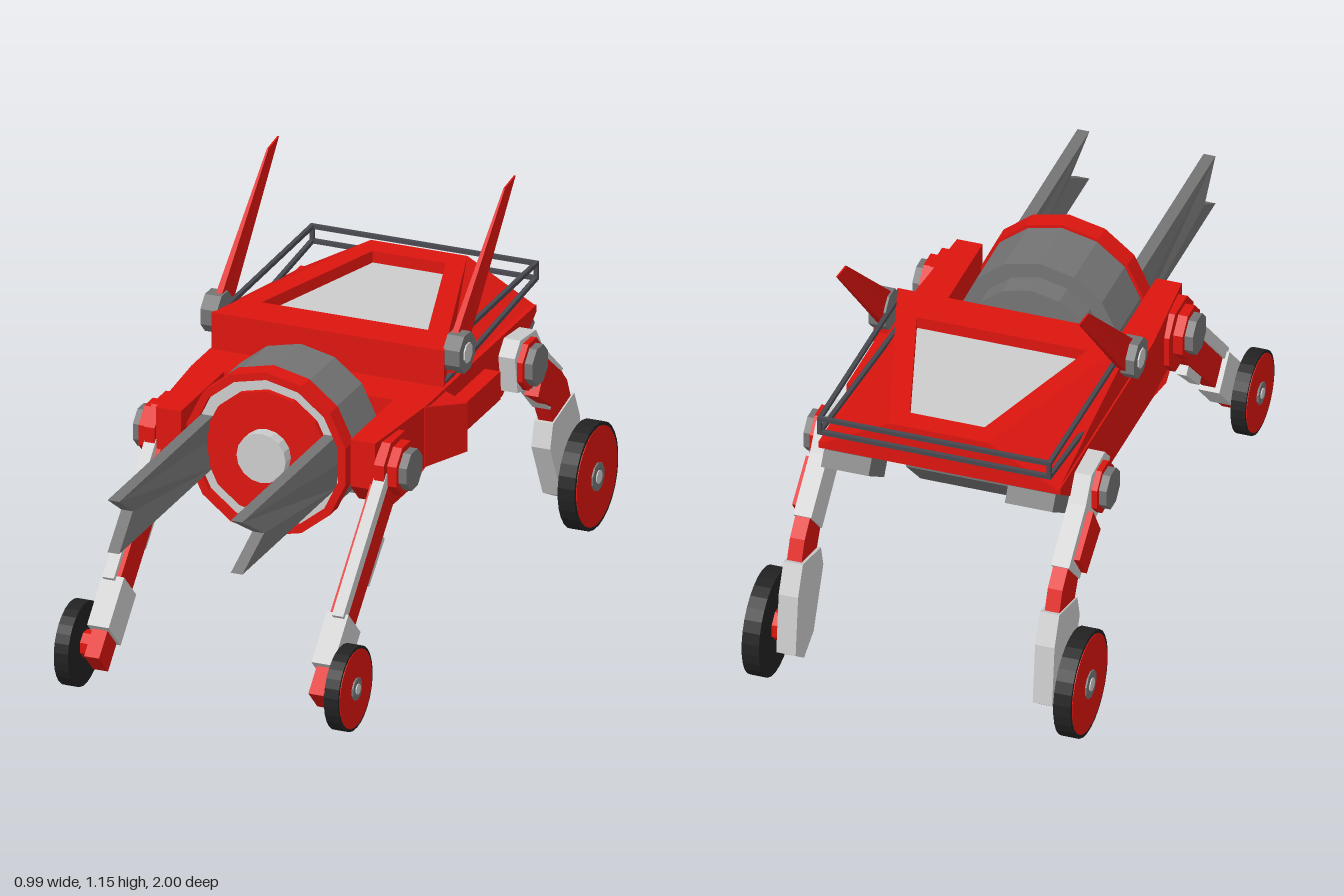
import * as THREE from 'three';

const mat = (color) => new THREE.MeshStandardMaterial({ color, flatShading: true, side: THREE.DoubleSide });
const RED = mat(0xdc150f), LIGHT = mat(0xcccccc), DARK = mat(0x747474), TYRE = mat(0x222222), RAIL = mat(0x484850);

export function createModel() {
  const root = new THREE.Group();
  let target = root;
  const add = (name, geo, material) => {
    const m = new THREE.Mesh(geo, material);
    m.name = name;
    target.add(m);
    return m;
  };
  const part = (name, build) => {
    target = new THREE.Group();
    target.name = name;
    root.add(target);
    build();
    target = root;
  };
  // side profile of [z, y] points, extruded from x0 to x1
  const plate = (name, pts, x0, x1, material) => {
    const shape = new THREE.Shape(pts.map(([z, y]) => new THREE.Vector2(-z, y)));
    const geo = new THREE.ExtrudeGeometry(shape, { depth: Math.abs(x1 - x0), bevelEnabled: false });
    geo.rotateY(Math.PI / 2).translate(Math.min(x0, x1), 0, 0);
    return add(name, geo, material);
  };
  // straight bar of width w running from a to b in the side plane
  const limb = (name, [z0, y0], [z1, y1], w, x0, x1, material) => {
    const l = Math.hypot(z1 - z0, y1 - y0);
    const nz = (-(y1 - y0) / l) * w / 2, ny = ((z1 - z0) / l) * w / 2;
    return plate(name, [[z0 + nz, y0 + ny], [z1 + nz, y1 + ny], [z1 - nz, y1 - ny], [z0 - nz, y0 - ny]], x0, x1, material);
  };
  // disc with its axis along x
  const disc = (name, z, y, r, x0, x1, material, sides = 8) => {
    const geo = new THREE.CylinderGeometry(r, r, Math.abs(x1 - x0), sides);
    geo.rotateY(Math.PI / sides).rotateZ(Math.PI / 2).translate((x0 + x1) / 2, y, z);
    return add(name, geo, material);
  };
  // move vertices by a rule
  const warp = (mesh, rule) => {
    const p = mesh.geometry.attributes.position;
    const v = new THREE.Vector3();
    for (let i = 0; i < p.count; i++) {
      v.fromBufferAttribute(p, i);
      rule(v);
      p.setXYZ(i, v.x, v.y, v.z);
    }
    mesh.geometry.computeVertexNormals();
  };
  // thin square rod between two points
  const rod = (name, a, b) => {
    const geo = new THREE.BoxGeometry(0.012, 0.012, a.distanceTo(b) + 0.01);
    const m = add(name, geo, RAIL);
    m.position.copy(a).lerp(b, 0.5);
    m.lookAt(b);
  };

  // hull and belly
  plate('hull', [[0.055, 0.52], [0.055, 0.7], [-0.72, 0.7], [-0.72, 0.68], [-0.48, 0.52]], -0.355, 0.355, RED);
  plate('bellyBox', [[0, 0.53], [0, 0.375], [-0.34, 0.375], [-0.46, 0.49], [-0.46, 0.53]], -0.19, 0.19, DARK);

  // cabin: loops from the base, over the rim, into the window recess
  const loop = (y, zf, wf, zb, wb) => [[wf, y, zf], [wb, y, zb], [-wb, y, zb], [-wf, y, zf]];
  const loops = [
    loop(0.695, -0.08, 0.35, -0.725, 0.35),
    loop(0.81, -0.08, 0.35, -0.725, 0.145),
    loop(0.81, -0.2, 0.25, -0.655, 0.11),
    loop(0.775, -0.2, 0.25, -0.655, 0.11),
  ];
  const quadGeo = (quads) => {
    const pos = quads.flatMap(([a, b, c, d]) => [a, b, c, a, c, d].flat());
    const g = new THREE.BufferGeometry();
    g.setAttribute('position', new THREE.Float32BufferAttribute(pos, 3));
    g.computeVertexNormals();
    return g;
  };
  const quads = [];
  for (let k = 0; k < 3; k++)
    for (let i = 0; i < 4; i++) {
      const j = (i + 1) % 4;
      quads.push([loops[k][i], loops[k][j], loops[k + 1][j], loops[k + 1][i]]);
    }
  add('cabin', quadGeo(quads), RED);
  add('cabinWindow', quadGeo([loops[3]]), LIGHT);

  // front drum, turned around z
  part('frontDrum', () => {
    const ring = (name, r, z0, z1, material, sides = 14) => {
      const geo = new THREE.CylinderGeometry(r, r, z1 - z0, sides);
      add(name, geo.rotateX(Math.PI / 2).translate(0, 0.613, (z0 + z1) / 2), material);
    };
    ring('drumCollar', 0.19, 0.04, 0.12, DARK);
    ring('drum', 0.235, 0.11, 0.31, DARK);
    const profile = [[0, 0.3], [0.245, 0.3], [0.245, 0.356], [0.222, 0.356], [0.222, 0.335]].map((p) => new THREE.Vector2(...p));
    add('drumRim', new THREE.LatheGeometry(profile, 14).rotateX(Math.PI / 2).translate(0, 0.613, 0), RED);
    ring('drumGroove', 0.222, 0.31, 0.338, LIGHT);
    ring('drumFace', 0.187, 0.33, 0.354, RED);
    ring('drumHub', 0.074, 0.35, 0.392, LIGHT, 16);
  });

  // panel and flare on the left flank only
  plate('sidePanel', [[-0.08, 0.565], [-0.08, 0.65], [-0.355, 0.65], [-0.355, 0.565]], 0.35, 0.402, RED);
  const flare = plate('sideFlare', [[0.07, 0.52], [0.07, 0.7], [-0.08, 0.7], [-0.08, 0.52]], 0.33, 0.42, RED);
  warp(flare, (v) => {
    if (v.x < 0.4) return;
    if (v.z > 0) v.x = 0.355;
    else if (v.y > 0.6) v.y = 0.665;
  });

  for (const s of [1, -1]) {
    const side = s > 0 ? 'left' : 'right';
    const X = (x) => s * x;

    part(side + 'Shoulder', () => {
      const arm = plate('shoulderArm', [[0.05, 0.52], [0.05, 0.7], [0.36, 0.7], [0.36, 0.56], [0.3, 0.5], [0.16, 0.5]], X(0.255), X(0.355), RED);
      warp(arm, (v) => { if (Math.abs(v.x) > 0.3 && v.z > 0.3) v.x = X(0.33); });
    });

    // prong: notched blade, gently curved around the drum axis
    part(side + 'Prong', () => {
      const blade = plate('prongBlade', [[0.33, 0.535], [0.33, 0.613], [0.33, 0.692], [1, 0.692], [0.875, 0.613], [1, 0.535]], X(0.18), X(0.215), DARK);
      warp(blade, (v) => { v.x -= s * 2 * (v.y - 0.613) ** 2; });
    });

    // wheel with tyre, coloured face and hub
    const wheel = (z, y, r, x0, x1) => {
      disc('tyre', z, y, r, X(x0), X(x1), TYRE, 28);
      disc('wheelFace', z, y, r * 0.93, X(x0 + 0.01), X(x1 + 0.002), RED, 28);
      disc('wheelHub', z, y, r * 0.27, X(x0 - 0.02), X(x1 + 0.007), DARK, 10);
      disc('hubCap', z, y, r * 0.13, X(x1), X(x1 + 0.01), LIGHT, 10);
    };

    part(side + 'FrontLeg', () => {
      plate('hipPlate', [[0.17, 0.64], [0.22, 0.69], [0.32, 0.69], [0.37, 0.64], [0.37, 0.57], [0.3, 0.5], [0.22, 0.5], [0.17, 0.55]], X(0.33), X(0.36), RED);
      disc('hipRing', 0.275, 0.602, 0.078, X(0.35), X(0.388), RED);
      disc('hipBolt', 0.275, 0.602, 0.06, X(0.38), X(0.412), DARK);
      limb('thigh', [0.26, 0.6], [0.64, 0.23], 0.105, X(0.315), X(0.355), RED);
      limb('shinStrip', [0.34, 0.6], [0.65, 0.29], 0.035, X(0.328), X(0.362), LIGHT);
      limb('calfStrip', [0.35, 0.42], [0.46, 0.32], 0.03, X(0.322), X(0.35), LIGHT);
      limb('ankle', [0.6, 0.26], [0.71, 0.15], 0.12, X(0.305), X(0.37), LIGHT);
      limb('toe', [0.68, 0.17], [0.765, 0.085], 0.09, X(0.315), X(0.36), RED);
      disc('axle', 0.73, 0.126, 0.04, X(0.35), X(0.4), RED);
      wheel(0.73, 0.124, 0.122, 0.385, 0.428);
    });

    part(side + 'RearLeg', () => {
      plate('hipFrame', [[-0.45, 0.65], [-0.49, 0.69], [-0.6, 0.68], [-0.65, 0.61], [-0.79, 0.49], [-0.7, 0.4], [-0.57, 0.52], [-0.47, 0.54]], X(0.352), X(0.405), LIGHT);
      disc('hipRing', -0.535, 0.605, 0.075, X(0.39), X(0.422), RED);
      disc('hipBolt', -0.535, 0.605, 0.06, X(0.41), X(0.445), DARK);
      plate('thighPanel', [[-0.635, 0.585], [-0.75, 0.495], [-0.69, 0.415], [-0.575, 0.49]], X(0.38), X(0.422), RED);
      plate('shin', [[-0.77, 0.5], [-0.83, 0.44], [-0.865, 0.36], [-0.74, 0.33], [-0.69, 0.42]], X(0.357), X(0.4), RED);
      plate('foot', [[-0.72, 0.35], [-0.87, 0.385], [-0.91, 0.3], [-0.93, 0.12], [-0.86, 0.07], [-0.78, 0.11], [-0.7, 0.28]], X(0.348), X(0.405), LIGHT);
      disc('axle', -0.845, 0.16, 0.05, X(0.39), X(0.45), RED);
      wheel(-0.843, 0.157, 0.155, 0.432, 0.483);
      limb('rearVent', [-0.73, 0.655], [-0.6, 0.57], 0.05, X(0.2), X(0.34), DARK);
    });

    // swept fin tapering to a thin tip, on a bolt
    part(side + 'Fin', () => {
      const fin = plate('finBlade', [[-0.11, 0.81], [-0.49, 1.14], [-0.565, 1.15], [-0.2, 0.765], [-0.12, 0.73]], X(0.345), X(0.365), RED);
      warp(fin, (v) => { if (v.y > 1) v.x = X(0.356 + (Math.abs(v.x) - 0.355) * 0.25); });
      disc('finBolt', -0.15, 0.785, 0.06, X(0.34), X(0.39), DARK);
      disc('finBoltCap', -0.15, 0.785, 0.03, X(0.38), X(0.394), LIGHT);
    });

    // side rails
    part(side + 'Rail', () => {
      const P = (y, z) => new THREE.Vector3(X(0.337), y, z);
      rod('upperRail', P(0.8, -0.12), P(0.806, -0.76));
      rod('lowerRail', P(0.7, -0.1), P(0.762, -0.76));
      rod('railPost', P(0.762, -0.76), P(0.806, -0.76));
    });
  }
  for (const y of [0.762, 0.806])
    rod('rearRail', new THREE.Vector3(-0.337, y, -0.76), new THREE.Vector3(0.337, y, -0.76));
  return root;
}
